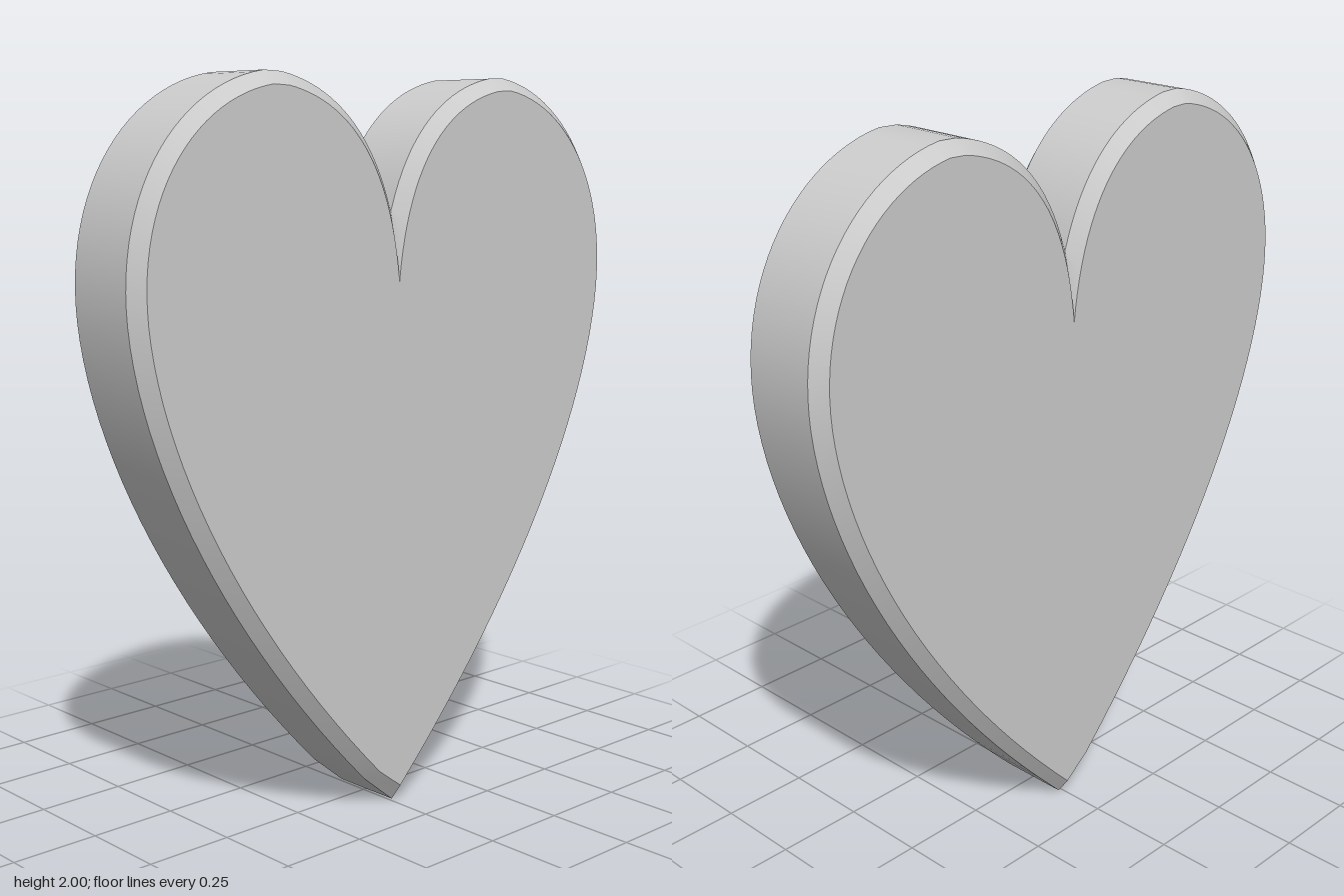
import * as THREE from 'three';
import { mergeGeometries } from 'three/addons/utils/BufferGeometryUtils.js';

const V = (x, y) => new THREE.Vector2(x, y);
const BEVEL = 0.035, HALF = 0.14;
const TIP_X = 0.01;

// Right half of the flat face outline, from the notch over the lobe to the tip
function faceOutline() {
  const path = new THREE.CurvePath();
  path.add(new THREE.CubicBezierCurve(V(0, 1.46), V(0.035, 1.8), V(0.2, 1.93), V(0.38, 1.963)));
  path.add(new THREE.LineCurve(V(0.38, 1.963), V(0.43, 1.965)));
  path.add(new THREE.CubicBezierCurve(V(0.43, 1.965), V(0.66, 1.93), V(0.85, 1.72), V(0.82, 1.4)));
  path.add(new THREE.CubicBezierCurve(V(0.82, 1.4), V(0.785, 1.04), V(0.5, 0.54), V(TIP_X, 0.05)));
  return path.getPoints(24);
}

// Outline pushed outward by the bevel; both halves meet in a crease at the notch
function rimOutline(face) {
  return face.map((p, i) => {
    if (i === face.length - 1) return V(TIP_X, 0);
    const t = face[i + 1].clone().sub(face[Math.max(i - 1, 0)]).normalize();
    const q = V(p.x - t.y * BEVEL, p.y + t.x * BEVEL);
    return q.x <= 0 ? V(0, 1.645) : q;
  });
}

// Mirror an outline to the left, keeping the shared tip in place
const mirrored = (pts) => pts.map((p, i) => V(i === pts.length - 1 ? p.x : -p.x, p.y));

// Smooth strip between a front outline and a back outline
function band(front, zFront, back, zBack, flip) {
  const pos = [], index = [], n = front.length;
  front.forEach((p) => pos.push(p.x, p.y, zFront));
  back.forEach((p) => pos.push(p.x, p.y, zBack));
  for (let i = 0; i < n - 1; i++) {
    const a = i, b = i + 1, c = i + n, d = i + n + 1;
    if (flip) index.push(a, c, b, b, c, d);
    else index.push(a, b, c, b, d, c);
  }
  const g = new THREE.BufferGeometry();
  g.setAttribute('position', new THREE.Float32BufferAttribute(pos, 3));
  g.setIndex(index);
  g.computeVertexNormals();
  return g;
}

export function createModel() {
  const group = new THREE.Group();
  group.name = 'heart';
  const material = new THREE.MeshStandardMaterial({ color: 0xcccccc });
  const add = (name, geometry) => {
    const mesh = new THREE.Mesh(geometry, material);
    mesh.name = name;
    group.add(mesh);
  };

  const face = faceOutline();
  const rim = rimOutline(face);
  const zRim = HALF - BEVEL;
  const sides = [[face, rim, false], [mirrored(face), mirrored(rim), true]];

  // Side wall and the two chamfers, each split at the notch and tip
  add('sideWall', mergeGeometries(sides.map(([, r, flip]) => band(r, zRim, r, -zRim, flip))));
  add('frontBevel', mergeGeometries(sides.map(([f, r, flip]) => band(f, HALF, r, zRim, flip))));
  add('backBevel', mergeGeometries(sides.map(([f, r, flip]) => band(r, -zRim, f, -HALF, flip))));

  // Flat faces
  const loop = [...face, ...mirrored(face).reverse().slice(1, -1)];
  const cap = new THREE.ShapeGeometry(new THREE.Shape(loop));
  add('frontFace', cap.clone().translate(0, 0, HALF));
  const backCap = cap.clone().translate(0, 0, -HALF);
  const idx = backCap.index.array;
  for (let i = 0; i < idx.length; i += 3) [idx[i], idx[i + 1]] = [idx[i + 1], idx[i]];
  backCap.computeVertexNormals();
  add('backFace', backCap);

  return group;
}
